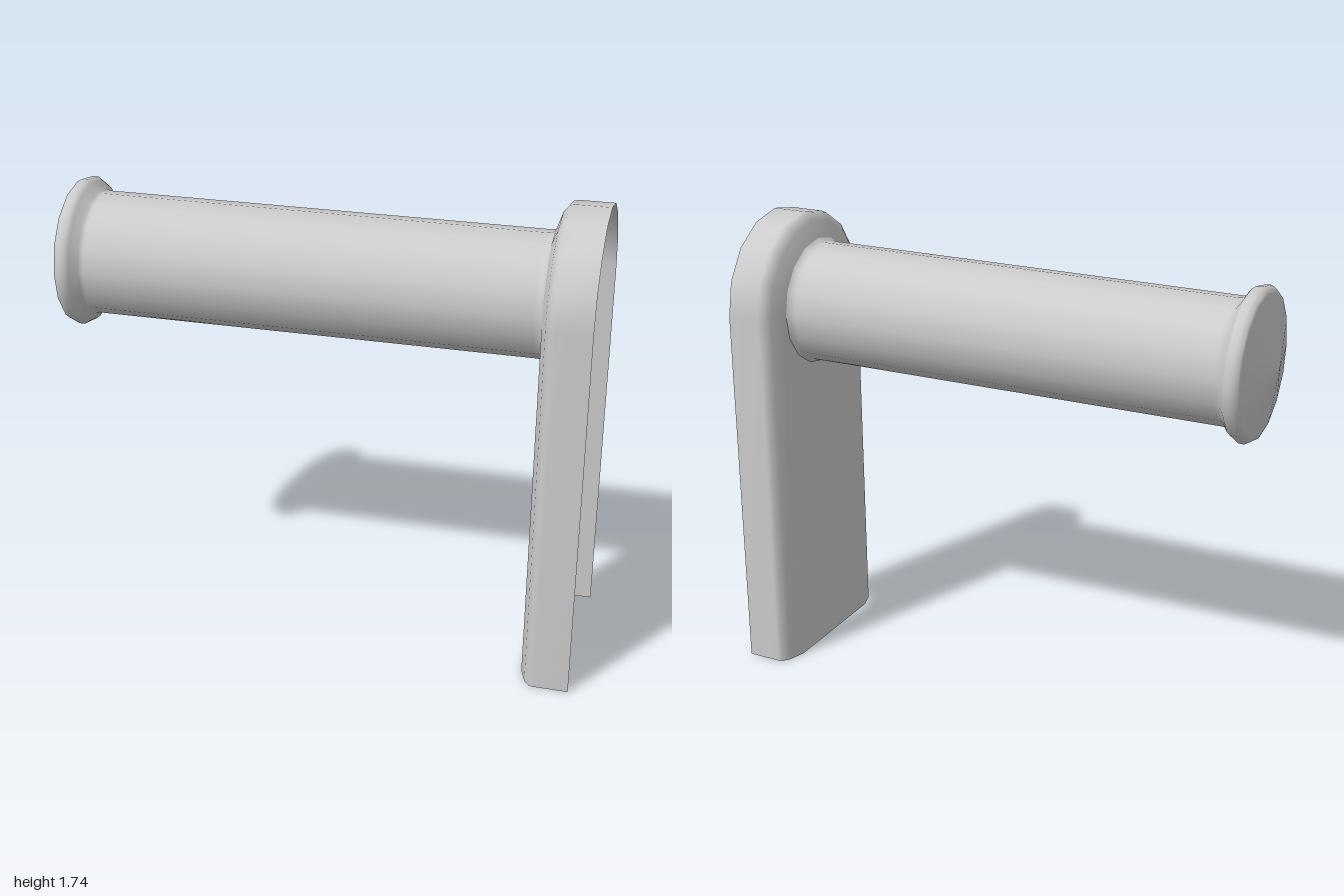
import * as THREE from 'three';

const C = 1.405;   // height of the tube axis
const N = 16;      // sides of the round parts
const INNER = 0.24;

// Half circle of radius r in the (z, y) plane, from angle a0 to a1
function arc(r, a0, a1) {
  const pts = [];
  for (let k = 0; k <= N / 2; k++) {
    const a = a0 + (a1 - a0) * k / (N / 2);
    pts.push([r * Math.cos(a), C + r * Math.sin(a)]);
  }
  return pts;
}

export function createModel() {
  const group = new THREE.Group();
  const mat = new THREE.MeshStandardMaterial({ color: 0xcccccc, side: THREE.DoubleSide });
  const add = (name, geo) => {
    const mesh = new THREE.Mesh(geo, mat);
    mesh.name = name;
    group.add(mesh);
  };

  // Side wall and bevelled rim: [offset, x] profile swept along an arch
  const profile = [[0.335, 1], [0.335, 0.875], [0.331, 0.856], [0.305, 0.836], [INNER, 0.815]];
  const pos = [], index = [];
  let n = 0;
  for (const [d, x] of profile) {
    const path = [[d, 0], ...arc(d, 0, Math.PI), [-d, 0]];
    n = path.length;
    for (const [z, y] of path) pos.push(x, y, z);
  }
  for (let i = 0; i < profile.length - 1; i++) {
    for (let j = 0; j < n - 1; j++) {
      const a = i * n + j, b = a + 1, c = a + n;
      index.push(a, b, c, b, b + n, c);
    }
  }
  const wall = new THREE.BufferGeometry();
  wall.setAttribute('position', new THREE.Float32BufferAttribute(pos, 3));
  wall.setIndex(index);
  wall.computeVertexNormals();
  add('bracketWall', wall);

  // Flat plate below the tube, notched by the lower half of the hole
  const outline = [[-INNER, 0], [INNER, 0], ...arc(INNER, 0, -Math.PI)];
  const plate = new THREE.ShapeGeometry(new THREE.Shape(outline.map(p => new THREE.Vector2(...p))));
  plate.rotateY(-Math.PI / 2).translate(0.815, 0, 0);
  add('bracketPlate', plate);

  // Hollow tube with collar, flange and shallow conical end cap: [radius, x]
  const tube = [
    [INNER, 0.815], [0.228, 0.803], [0.226, 0.785], [0.226, -0.845], [0.23, -0.862],
    [0.262, -0.885], [0.273, -0.9], [0.274, -0.922], [0.264, -0.94], [0.25, -0.944], [0, -1],
  ].map(([r, x]) => new THREE.Vector2(r, -x));
  const lathe = new THREE.LatheGeometry(tube, N);
  lathe.rotateZ(Math.PI / 2).translate(0, C, 0);
  add('tube', lathe);

  return group;
}
